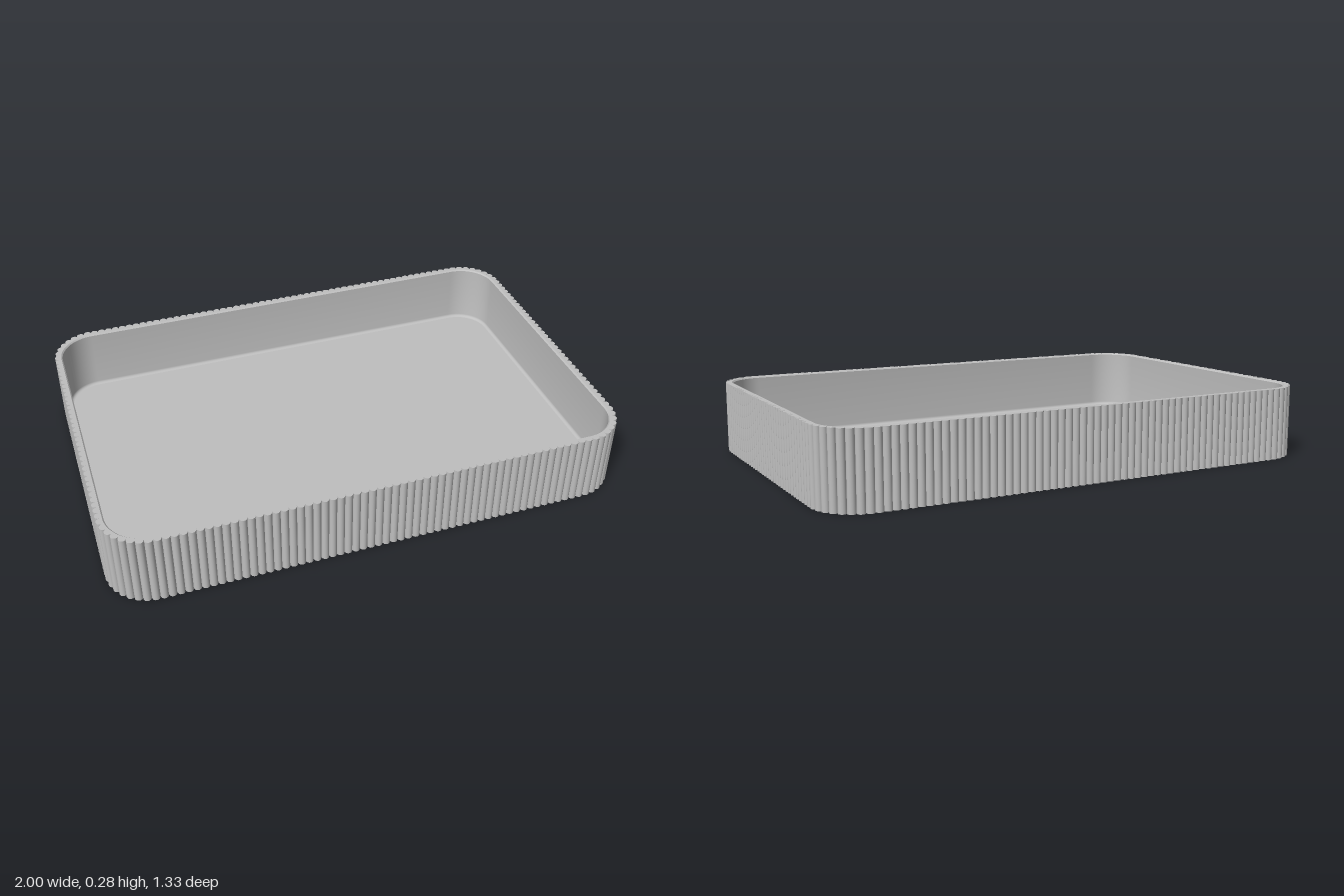
import * as THREE from 'three';
import { toCreasedNormals } from 'three/addons/utils/BufferGeometryUtils.js';

const HALF_X = 0.984, HALF_Z = 0.651, RADIUS = 0.154; // body outline at the rib roots
const HEIGHT = 0.28, FLOOR = 0.03, RIB_DEPTH = 0.016;

// Point and outward normal on a rounded rectangle, four sides and four corners in turn
function outline(inset, steps, visit) {
  const r = RADIUS - inset;
  const cx = HALF_X - RADIUS, cy = HALF_Z - RADIUS;
  const corners = [[cx, cy], [-cx, cy], [-cx, -cy], [cx, -cy]];
  corners.forEach(([x, y], k) => {
    const a0 = k * Math.PI / 2;
    const [px, py] = corners[(k + 3) % 4];
    // straight side leading to this corner
    visit(k % 2 ? steps.x : steps.y, (t) => {
      const nx = Math.cos(a0), ny = Math.sin(a0);
      return [px + (x - px) * t + nx * r, py + (y - py) * t + ny * r, nx, ny];
    });
    // the corner arc
    visit(steps.corner, (t) => {
      const a = a0 + t * Math.PI / 2;
      const nx = Math.cos(a), ny = Math.sin(a);
      return [x + nx * r, y + ny * r, nx, ny];
    });
  });
}

// Plain rounded outline
function smoothPoints(inset) {
  const pts = [];
  outline(inset, { x: 1, y: 1, corner: 16 }, (n, at) => {
    for (let i = 0; i < n; i++) {
      const [x, y] = at(i / n);
      pts.push(new THREE.Vector2(x, y));
    }
  });
  return pts;
}

// Outline carrying a row of half-round ribs
function ribbedPoints() {
  const pts = [], seg = 8;
  outline(0, { x: 56, y: 34, corner: 8 }, (n, at) => {
    for (let i = 0; i < n; i++) {
      for (let s = 0; s < seg; s++) {
        const a = Math.PI * s / seg;
        const [x, y, nx, ny] = at((i + 0.5 - 0.5 * Math.cos(a)) / n);
        const d = RIB_DEPTH * Math.sin(a);
        pts.push(new THREE.Vector2(x + nx * d, y + ny * d));
      }
    }
  });
  return pts;
}

// Crease at a large scale, so the fine ribs keep separate normals
function crease(geometry, angle) {
  geometry.scale(1000, 1000, 1000);
  const result = toCreasedNormals(geometry, angle);
  return result.scale(0.001, 0.001, 0.001);
}

// Inward-facing skin through [inset, height] sections, from the top down
function innerSkin(profile) {
  const positions = [], index = [];
  let n = 0;
  profile.forEach(([inset, h]) => {
    const loop = smoothPoints(inset);
    n = loop.length;
    loop.forEach((p) => positions.push(p.x, p.y, h));
  });
  for (let i = 0; i < profile.length - 1; i++) {
    for (let j = 0; j < n; j++) {
      const k = (j + 1) % n;
      const a = i * n + j, b = i * n + k, c = a + n, d = b + n;
      index.push(a, b, c, b, d, c);
    }
  }
  const g = new THREE.BufferGeometry();
  g.setAttribute('position', new THREE.Float32BufferAttribute(positions, 3));
  g.setIndex(index);
  return crease(g, 0.6);
}

export function createModel() {
  const tray = new THREE.Group();
  tray.name = 'ribbedTray';
  const grey = new THREE.MeshStandardMaterial({ color: 0xbfbfbf });
  grey.name = 'grey';

  const add = (name, geometry) => {
    geometry.rotateX(-Math.PI / 2); // outline plane to the ground
    const mesh = new THREE.Mesh(geometry, grey);
    mesh.name = name;
    tray.add(mesh);
  };

  // Ribbed wall with its flat rim
  const wall = new THREE.Shape(ribbedPoints());
  wall.holes.push(new THREE.Path(smoothPoints(0.009).reverse()));
  add('ribbedWall', crease(
    new THREE.ExtrudeGeometry(wall, { depth: HEIGHT, bevelEnabled: false }), 0.6));

  // Inner wall: small rim chamfer, straight side, rounded foot
  const profile = [[0.009, HEIGHT], [0.014, HEIGHT - 0.005]];
  for (let i = 0; i <= 4; i++) {
    const a = i / 4 * Math.PI / 2, r = 0.012;
    profile.push([0.014 + r * (1 - Math.cos(a)), FLOOR + r * (1 - Math.sin(a))]);
  }
  add('innerWall', innerSkin(profile));

  // Solid floor closing the bottom
  add('floor', new THREE.ExtrudeGeometry(
    new THREE.Shape(smoothPoints(0.009)), { depth: FLOOR, bevelEnabled: false }));

  return tray;
}
